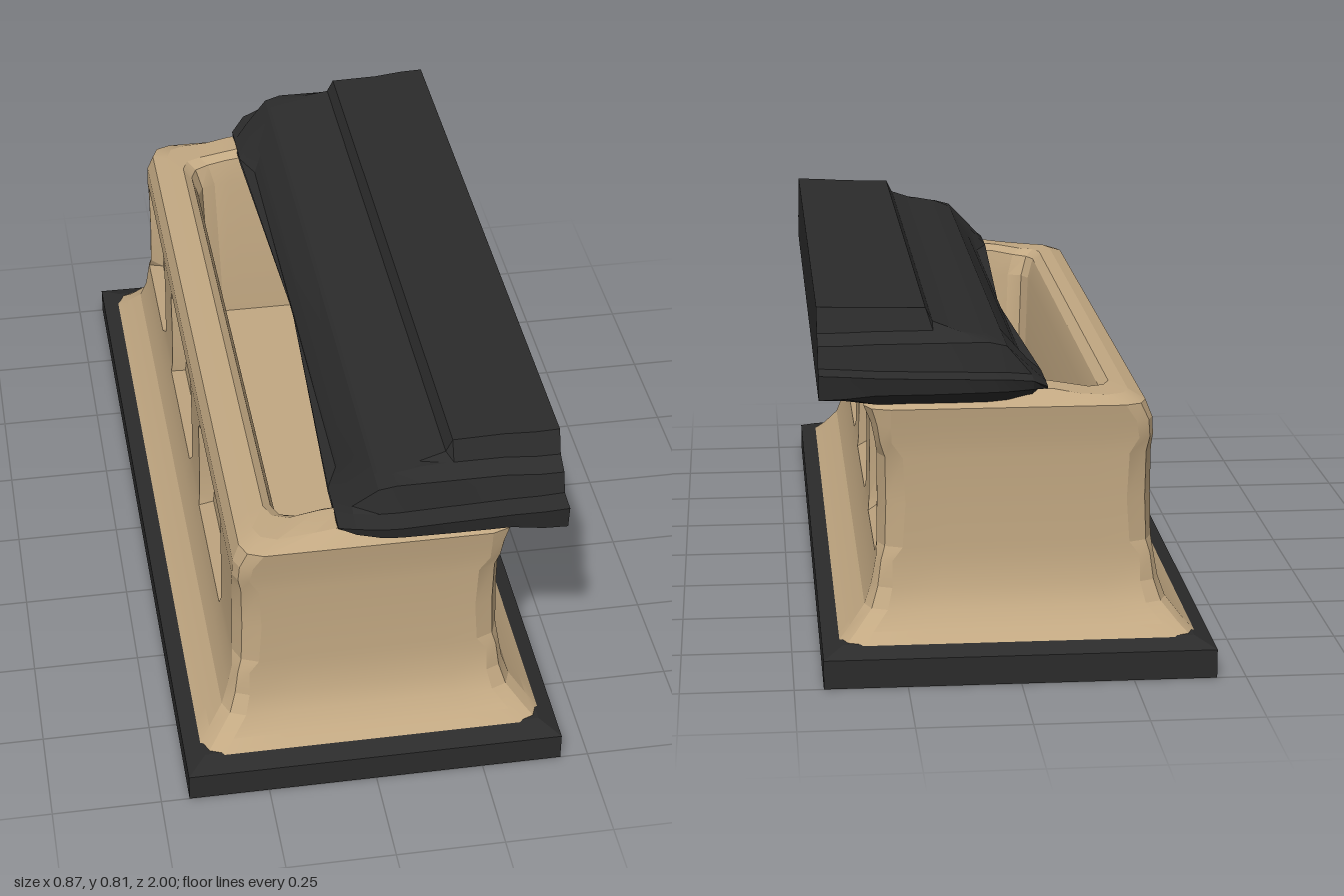
import * as THREE from 'three';
import { toCreasedNormals } from 'three/addons/utils/BufferGeometryUtils.js';

const stone = new THREE.MeshStandardMaterial({ color: 0xc2a882 });
stone.name = 'sandstone';
const dark = new THREE.MeshStandardMaterial({ color: 0x2b2b2b });
dark.name = 'dark stone';

// Joins closed rings of equal length; each end is closed by a fan to its middle point
function loft(rings, startCentre, endCentre, crease) {
  const n = rings[0].length, pos = rings.flat(2), idx = [];
  for (let i = 0; i < rings.length - 1; i++) {
    for (let j = 0; j < n; j++) {
      const k = (j + 1) % n, a = i * n + j, b = i * n + k;
      idx.push(a, b, b + n, a, b + n, a + n);
    }
  }
  const c0 = pos.length / 3, c1 = c0 + 1, last = (rings.length - 1) * n;
  pos.push(...startCentre, ...endCentre);
  for (let j = 0; j < n; j++) {
    const k = (j + 1) % n;
    idx.push(c0, k, j, c1, last + j, last + k);
  }
  const g = new THREE.BufferGeometry();
  g.setAttribute('position', new THREE.Float32BufferAttribute(pos, 3));
  g.setIndex(idx);
  return toCreasedNormals(g, crease);
}

function named(name, geometry, material) {
  const m = new THREE.Mesh(geometry, material);
  m.name = name;
  return m;
}

// Plinth: slab with a shallow sloped top
function plinth() {
  const ring = (y, x, z) => [[x, y, z], [x, y, -z], [-x, y, -z], [-x, y, z]];
  const rings = [ring(0, 0.435, 1), ring(0.065, 0.435, 1), ring(0.084, 0.39, 0.95)];
  return named('plinth', loft(rings, [0, 0, 0], [0, 0.084, 0], 0.1), dark);
}

// Chest: flared walls with three sunk panels a side, rim and hollow inside
function chest() {
  // outer edges of the panels along z
  const panels = [[0.64, 0.24], [0.09, -0.32], [-0.47, -0.82]];
  const sideZ = [0.76];
  for (const [a, b] of panels) sideZ.push(a, a - 0.035, b + 0.035, b);
  const isFloor = z => panels.some(([a, b]) => z < a - 0.03 && z > b + 0.03);
  const endX = [0.6, 0.25, -0.1, -0.4, -0.7];

  // y, half width, half length, corner radius, panel depth, extra flare at +x
  const rows = [
    [0.078, 0.40, 0.96, 0.05, 0, 0], [0.105, 0.372, 0.93, 0.05, 0, 0],
    [0.145, 0.338, 0.90, 0.05, 0, 0], [0.19, 0.322, 0.882, 0.045, 0, 0],
    [0.25, 0.311, 0.875, 0.035, 0, 0], [0.28, 0.308, 0.873, 0.055, 0.03, 0],
    [0.38, 0.306, 0.872, 0.06, 0.035, 0], [0.485, 0.306, 0.873, 0.055, 0.035, 0],
    [0.52, 0.307, 0.875, 0.035, 0, 0.004], [0.56, 0.305, 0.88, 0.04, 0, 0.014],
    [0.598, 0.29, 0.885, 0.05, 0, 0.045], [0.614, 0.255, 0.85, 0.05, 0, 0.03],
    [0.616, 0.22, 0.78, 0.05, 0, 0], [0.60, 0.20, 0.76, 0.05, 0, 0],
    [0.55, 0.185, 0.745, 0.05, 0, 0], [0.15, 0.17, 0.725, 0.05, 0, 0],
  ];

  const rings = rows.map(([y, w, l, r, depth, flare], i) => {
    const ring = [], lz = l - r, lx = w - r;
    const add = (x, z) => {
      const lift = i > 10 && i < 14 ? 0.018 * THREE.MathUtils.smoothstep(x, -0.18, -0.06) : 0;
      ring.push([x > 0 ? x + flare * x / w : x, y + lift, z]);
    };
    const corner = (sx, sz, start) => {
      for (const t of [0, 0.5, 1]) {
        const a = start + t * Math.PI / 2;
        add(sx * lx + r * Math.cos(a), sz * lz - r * Math.sin(a));
      }
    };
    const side = (s, list) => list.forEach(z =>
      add(s * (w - (isFloor(z) ? depth : 0)), z * lz / 0.825));
    side(1, sideZ);
    corner(1, -1, 0);
    endX.forEach(t => add(t * lx, -l));
    corner(-1, -1, Math.PI / 2);
    side(-1, [...sideZ].reverse());
    corner(-1, 1, Math.PI);
    endX.forEach(t => add(-t * lx, l));
    corner(1, 1, -Math.PI / 2);
    return ring;
  });
  return named('chest', loft(rings, [0, 0.078, 0], [0, 0.15, 0], 0.3), stone);
}

// Lid: slid aside, with stepped ends and a cut face at +x
function lid() {
  // x, length factor, top, underside, skirt bottom, skirt top
  const stations = [
    [-0.07, 0.92, 0.64, 0.628, 0.632, 0.638], [-0.035, 0.96, 0.675, 0.613, 0.64, 0.66],
    [0.02, 0.985, 0.73, 0.61, 0.642, 0.67], [0.06, 0.99, 0.746, 0.608, 0.642, 0.672],
    [0.12, 0.99, 0.757, 0.607, 0.641, 0.674], [0.18, 0.99, 0.777, 0.607, 0.64, 0.676],
    [0.195, 0.99, 0.807, 0.607, 0.64, 0.676], [0.31, 0.99, 0.81, 0.608, 0.64, 0.68],
    [0.38, 1, 0.813, 0.62, 0.636, 0.687], [0.435, 1, 0.815, 0.63, 0.634, 0.69],
  ];
  const rings = stations.map(([x, f, top, b0, b1, y1], i) => {
    const cap = y => Math.min(y, top);
    const inset = i === 0 ? 0.03 : i === 1 ? 0.015 : 0;
    const half = [
      [0.7, b0, inset], [0.78, b0, 0], [0.88, b0, 0], [0.93, b1, 0], [0.937, y1, 0],
      [0.885, cap(y1 + 0.004), 0], [0.87, cap(0.74), 0], [0.83, cap(0.76), 0],
      [0.81, top, 0], [0.78, top, 0], [0.7, top, inset],
    ];
    const point = s => ([z, y, dx]) => [x + dx, y, s * z * f];
    return [...half.map(point(-1)), ...half.map(point(1)).reverse()];
  });
  return named('lid', loft(rings, [-0.04, 0.634, 0], [0.435, 0.66, 0], 0.35), dark);
}

export function createModel() {
  const group = new THREE.Group();
  group.name = 'sarcophagus';
  group.add(plinth(), chest(), lid());
  return group;
}
